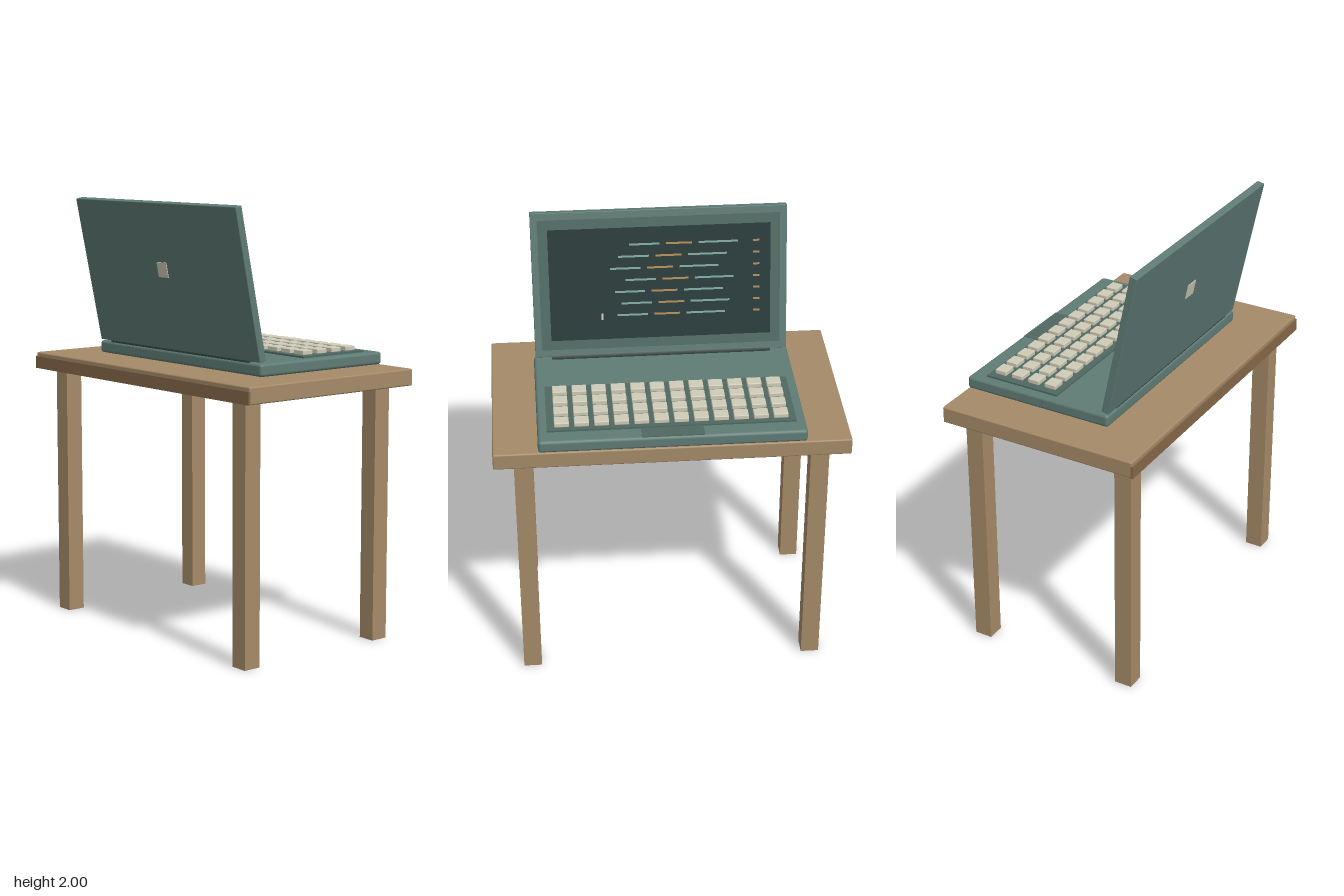
import * as THREE from 'three';
import { RoundedBoxGeometry } from 'three/addons/geometries/RoundedBoxGeometry.js';

const mat = (color) => new THREE.MeshStandardMaterial({ color });
const wood = mat(0xa58a68), trimWood = mat(0x86694a);
const shell = mat(0x5f7b75), inset = mat(0x506962), dark = mat(0x3a4c49);
const glass = mat(0x263838), cream = mat(0xcfcbb8);
const tealInk = mat(0x7fa89f), amberInk = mat(0xb08a55);

// Adds a box centred on x, y, z; a radius rounds its edges
function box(parent, name, material, [w, h, d], [x, y, z], radius = 0) {
  const geometry = radius
    ? new RoundedBoxGeometry(w, h, d, 2, radius)
    : new THREE.BoxGeometry(w, h, d);
  const mesh = new THREE.Mesh(geometry, material);
  mesh.name = name;
  mesh.position.set(x, y, z);
  parent.add(mesh);
  return mesh;
}

function group(parent, name) {
  const g = new THREE.Group();
  g.name = name;
  parent.add(g);
  return g;
}

function buildTable(parent) {
  const table = group(parent, 'table');
  box(table, 'tableTop', wood, [1.59, 0.077, 0.96], [0, 1.2165, -0.003], 0.007);
  box(table, 'edgeTrim', trimWood, [1.59, 0.058, 0.012], [0, 1.207, 0.477]);
  for (const sx of [-1, 1]) {
    for (const sz of [-1, 1]) {
      box(table, 'tableLeg', wood, [0.084, 1.18, 0.084], [sx * 0.663, 0.59, sz * 0.382]);
    }
  }
}

function buildBase(parent) {
  const base = group(parent, 'laptopBase');
  box(base, 'baseShell', shell, [1.19, 0.058, 0.727], [0, 1.284, -0.12], 0.014);
  box(base, 'keyboardTray', inset, [1.106, 0.012, 0.366], [0, 1.315, -0.223]);
  box(base, 'trackpad', inset, [0.278, 0.006, 0.07], [0, 1.3125, -0.441]);

  // Four rows of twelve keys
  const keys = group(base, 'keys');
  for (let row = 0; row < 4; row++) {
    for (let col = 0; col < 12; col++) {
      box(keys, 'key', cream, [0.066, 0.022, 0.057],
        [(col - 5.5) * 0.0885, 1.331, -0.355 + row * 0.086], 0.004);
    }
  }

  // Hinge barrel
  const hinge = new THREE.Mesh(new THREE.CylinderGeometry(0.019, 0.019, 1.02, 16), dark);
  hinge.name = 'hinge';
  hinge.rotation.z = Math.PI / 2;
  hinge.position.set(0, 1.32, 0.222);
  base.add(hinge);
}

function buildLid(parent) {
  // The lid leans towards +z, with its screen facing -z
  const lid = group(parent, 'laptopLid');
  lid.position.set(0, 1.322, 0.225);
  lid.rotation.x = 0.205;
  box(lid, 'lidShell', shell, [1.174, 0.69, 0.035], [0, 0.345, 0], 0.003);
  box(lid, 'lidPlate', cream, [0.07, 0.07, 0.006], [0, 0.38, 0.018]);
  box(lid, 'screenBezel', inset, [1.11, 0.62, 0.006], [0, 0.345, -0.019]);
  box(lid, 'screen', glass, [1.02, 0.53, 0.006], [0, 0.345, -0.021]);

  // Bars on the screen: a short mark, then three dashes per row
  const bars = group(lid, 'screenBars');
  const bar = (material, x0, x1, y) =>
    box(bars, 'screenBar', material, [x1 - x0, 0.009, 0.003], [(x0 + x1) / 2, y, -0.0245]);
  const indents = [0, 0.05, 0.09, 0.02, 0.07, 0.04, 0.06];
  indents.forEach((indent, i) => {
    const y = 0.53 - i * 0.056;
    bar(amberInk, -0.46, -0.43, y);
    bar(tealInk, -0.36 + indent, -0.18 + indent, y);
    bar(amberInk, -0.15 + indent, -0.03 + indent, y);
    bar(tealInk, 0.0 + indent, 0.14 + indent, y);
  });
  box(bars, 'cursor', cream, [0.01, 0.032, 0.003], [0.27, 0.19, -0.0245]);
}

export function createModel() {
  const model = new THREE.Group();
  model.name = 'laptopOnTable';
  buildTable(model);
  buildBase(model);
  buildLid(model);
  return model;
}
